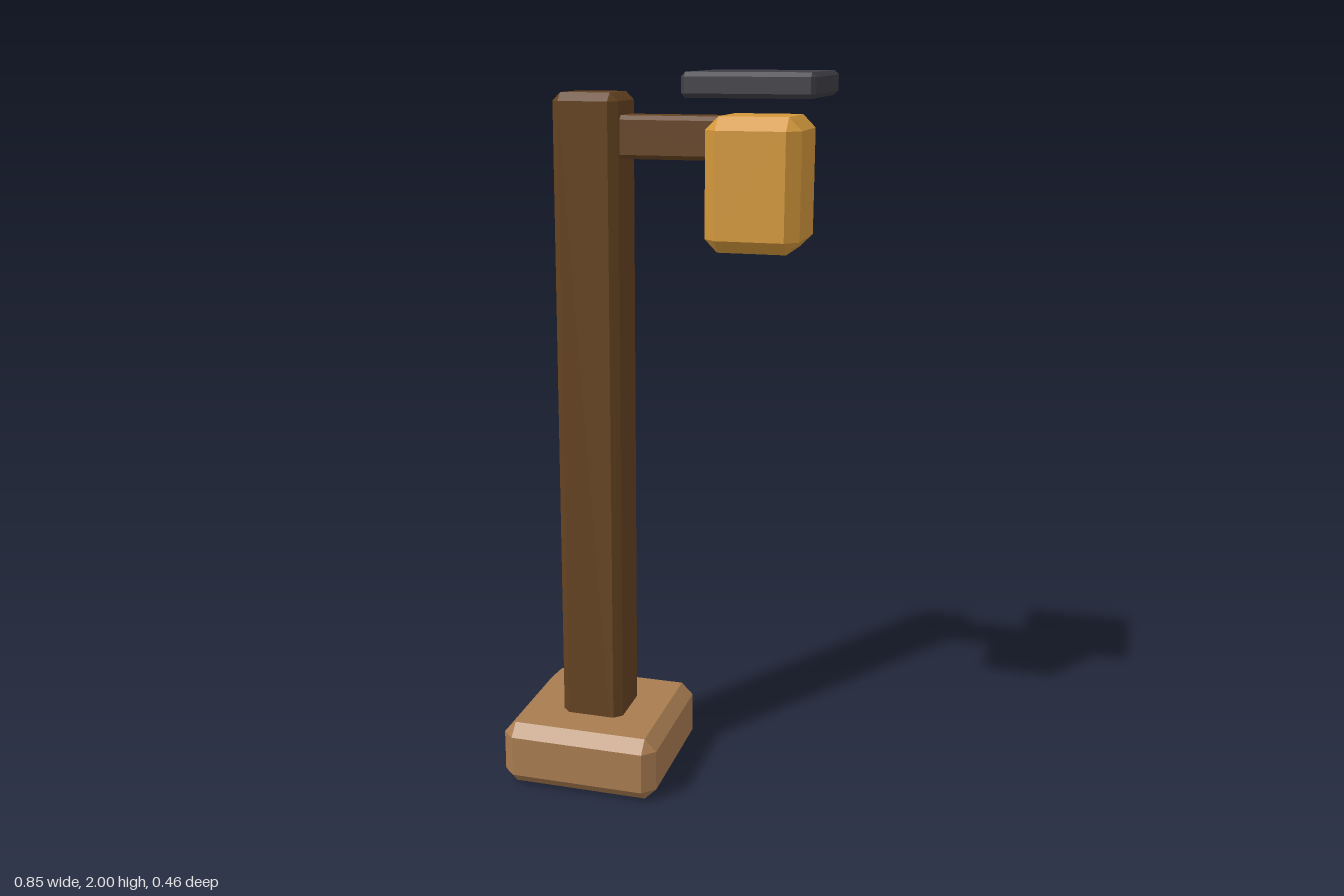
import * as THREE from 'three';
import { ConvexGeometry } from 'three/addons/geometries/ConvexGeometry.js';

const material = (name, color) => {
  const m = new THREE.MeshStandardMaterial({ color });
  m.name = name;
  return m;
};

// Box with flat chamfers on every edge, given by its min and max corners
function chamferedBox(name, min, max, c, mat) {
  const size = max.map((v, i) => v - min[i]);
  const points = [];
  for (const sx of [-1, 1]) for (const sy of [-1, 1]) for (const sz of [-1, 1]) {
    for (let axis = 0; axis < 3; axis++) {
      // each corner is cut into three points, one on each adjoining face
      const p = [sx, sy, sz].map((s, i) => s * (size[i] / 2 - (i === axis ? 0 : c)));
      points.push(new THREE.Vector3(...p));
    }
  }
  const mesh = new THREE.Mesh(new ConvexGeometry(points), mat);
  mesh.position.set(...min.map((v, i) => (v + max[i]) / 2));
  mesh.name = name;
  return mesh;
}

export function createModel() {
  const stone = material('light brown', 0xa97c50);
  const wood = material('dark wood', 0x654321);
  const amber = material('amber glow', 0xd4983c);
  const iron = material('dark iron', 0x3f3e45);

  const group = new THREE.Group();
  group.name = 'lampPost';
  group.add(
    // footing and upright
    chamferedBox('base', [-0.428, 0, -0.228], [0.028, 0.185, 0.228], 0.034, stone),
    chamferedBox('post', [-0.29, 0.005, -0.091], [-0.11, 1.945, 0.091], 0.022, wood),
    // arm running into the lantern
    chamferedBox('arm', [-0.2, 1.775, -0.057], [0.2, 1.887, 0.057], 0.011, wood),
    // lantern with its floating cap
    chamferedBox('lantern', [0.13, 1.545, -0.125], [0.38, 1.89, 0.125], 0.034, amber),
    chamferedBox('lanternCap', [0.085, 1.937, -0.17], [0.425, 2, 0.17], 0.011, iron),
  );
  return group;
}
